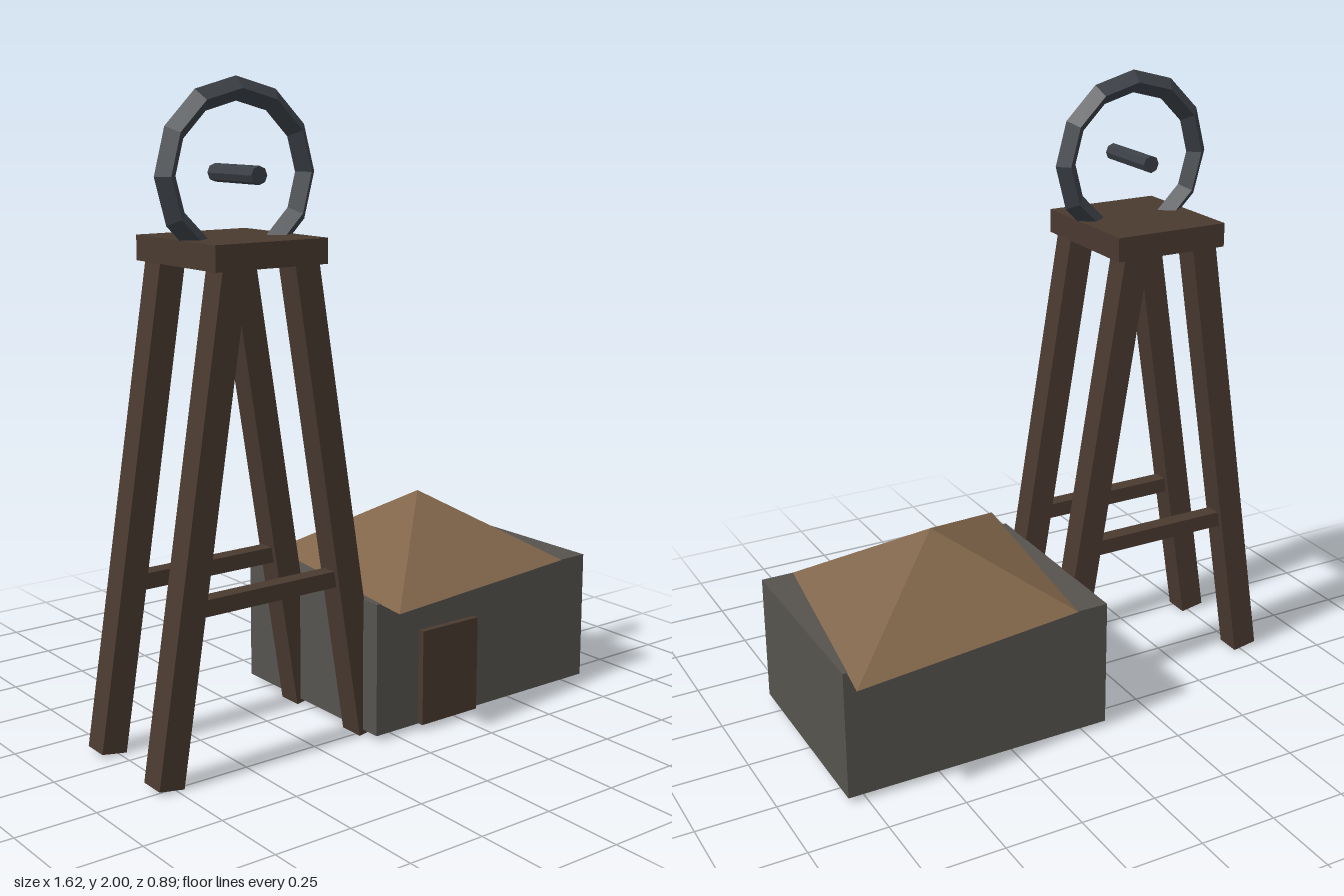
import * as THREE from 'three';

const material = (color) => new THREE.MeshStandardMaterial({ color, flatShading: true });

export function createModel() {
  const model = new THREE.Group();
  const wood = material(0x4a3a30);
  const stone = material(0x56534e);
  const thatch = material(0x80654a);
  const iron = material(0x3a3f45);

  const add = (parent, name, geometry, mat, x, y, z) => {
    const mesh = new THREE.Mesh(geometry, mat);
    mesh.name = name;
    mesh.position.set(x, y, z);
    parent.add(mesh);
    return mesh;
  };

  // Tower: four splayed legs, two cross braces and a platform
  const tower = new THREE.Group();
  tower.name = 'tower';
  tower.position.set(-0.408, 0, 0.065);
  model.add(tower);

  const legLength = 1.5;
  const lean = 0.16;
  for (const back of [1, -1]) {
    for (const side of [1, -1]) {
      const leg = add(tower, 'leg', new THREE.BoxGeometry(0.084, legLength, 0.084), wood,
        side * (0.36 - Math.sin(lean) * legLength / 2),
        0.007 + Math.cos(lean) * legLength / 2, back * 0.163);
      leg.rotation.z = side * lean;
    }
    add(tower, 'brace', new THREE.BoxGeometry(0.54, 0.05, 0.05), wood, 0, 0.515, back * 0.163);
  }
  add(tower, 'platform', new THREE.BoxGeometry(0.385, 0.075, 0.42), wood, 0, 1.508, 0);

  // Winding wheel with a diamond-section rim and its axle
  const wheel = new THREE.Group();
  wheel.name = 'wheel';
  wheel.position.set(-0.408, 1.725, 0.098);
  model.add(wheel);
  add(wheel, 'rim', new THREE.TorusGeometry(0.24, 0.035, 4, 12), iron, 0, 0, 0);
  add(wheel, 'axle', new THREE.CylinderGeometry(0.027, 0.027, 0.225, 8), iron, 0, 0, 0)
    .rotation.x = Math.PI / 2;

  // Hut: walls, door and a diamond-shaped pyramid roof set diagonally
  const hut = new THREE.Group();
  hut.name = 'hut';
  hut.position.x = 0.365;
  model.add(hut);
  add(hut, 'walls', new THREE.BoxGeometry(0.885, 0.42, 0.674), stone, 0, 0.228, 0);
  add(hut, 'door', new THREE.BoxGeometry(0.225, 0.305, 0.04), wood, -0.163, 0.172, 0.338);
  const roof = new THREE.ConeGeometry(1, 0.222, 4);
  roof.scale(0.627, 1, 0.479);
  roof.rotateY(Math.PI / 4);
  add(hut, 'roof', roof, thatch, 0, 0.548, 0);

  return model;
}
